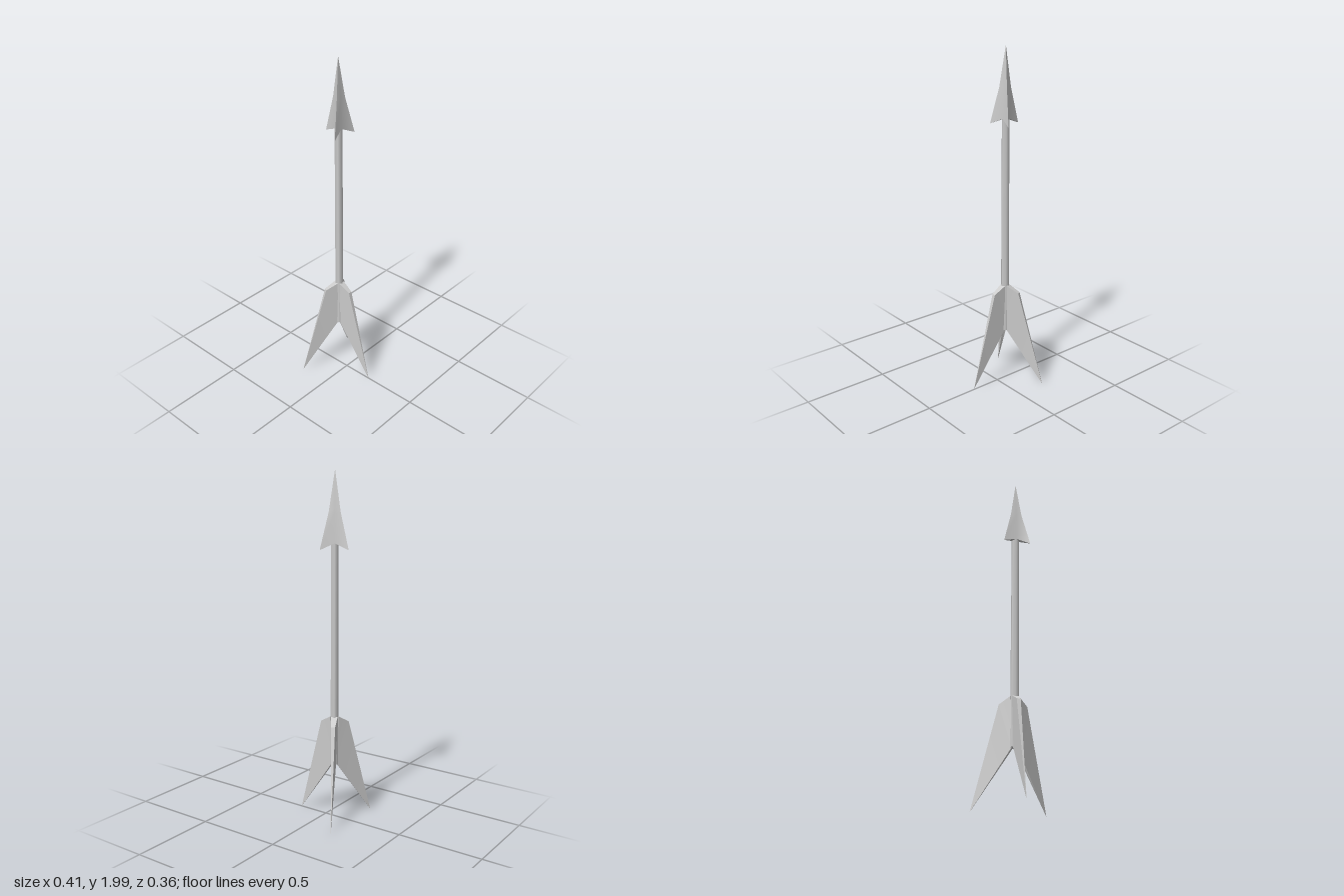
import * as THREE from 'three';
import { toCreasedNormals } from 'three/addons/utils/BufferGeometryUtils.js';

const material = new THREE.MeshStandardMaterial({ color: 0xcccccc });
const THIRD = (Math.PI * 2) / 3;

function surface(points, faces, crease) {
  const geometry = new THREE.BufferGeometry();
  geometry.setAttribute('position', new THREE.Float32BufferAttribute(points.flat(), 3));
  geometry.setIndex(faces.flat());
  return toCreasedNormals(geometry, crease);
}

// Three-barbed head: star-shaped rings rising to a point
function headGeometry() {
  const rings = [
    { barb: [0.091, 1.57], notch: [0.021, 1.605] },
    { barb: [0.037, 1.775], notch: [0.0185, 1.775] },
  ];
  const points = [];
  const faces = [];
  for (const ring of rings) {
    for (let i = 0; i < 6; i++) {
      const [r, y] = i % 2 ? ring.barb : ring.notch;
      const a = (i * Math.PI) / 3;
      points.push([r * Math.sin(a), y, r * Math.cos(a)]);
    }
  }
  points.push([0, 2, 0], [0, 1.605, 0]);
  for (let i = 0; i < 6; i++) {
    const j = (i + 1) % 6;
    faces.push([i, j, j + 6], [i, j + 6, i + 6], [i + 6, j + 6, 12], [j, i, 13]);
  }
  return surface(points, faces, 1.0);
}

// Swept fin: thick at the shaft, thinning to a trailing point
function finGeometry() {
  const outline = [ // radius, height, half thickness
    [0.012, 0.335, 0.011],
    [0.238, 0.01, 0.0005],
    [0.086, 0.58, 0.011],
    [0.017, 0.62, 0.019],
  ];
  const points = [];
  for (const side of [1, -1]) {
    for (const [r, y, t] of outline) points.push([side * t, y, r]);
  }
  const faces = [[0, 2, 1], [0, 3, 2], [4, 5, 6], [4, 6, 7]];
  for (let i = 0; i < 4; i++) {
    const j = (i + 1) % 4;
    faces.push([i, j, j + 4], [i, j + 4, i + 4]);
  }
  return surface(points, faces, 0.7);
}

export function createModel() {
  const model = new THREE.Group();
  model.name = 'arrow';

  const add = (name, geometry) => {
    const mesh = new THREE.Mesh(geometry, material);
    mesh.name = name;
    model.add(mesh);
    return mesh;
  };

  add('head', headGeometry());

  const shaft = add('shaft', new THREE.CylinderGeometry(0.022, 0.025, 1.27, 6));
  shaft.position.y = 0.97;

  const fin = finGeometry();
  ['frontFin', 'leftFin', 'rightFin'].forEach((name, i) => {
    add(name, fin).rotation.y = i * THIRD;
  });

  // The shaft axis sits behind the centre of the fins' extent
  model.children.forEach((part) => { part.position.z = -0.06; });
  return model;
}
